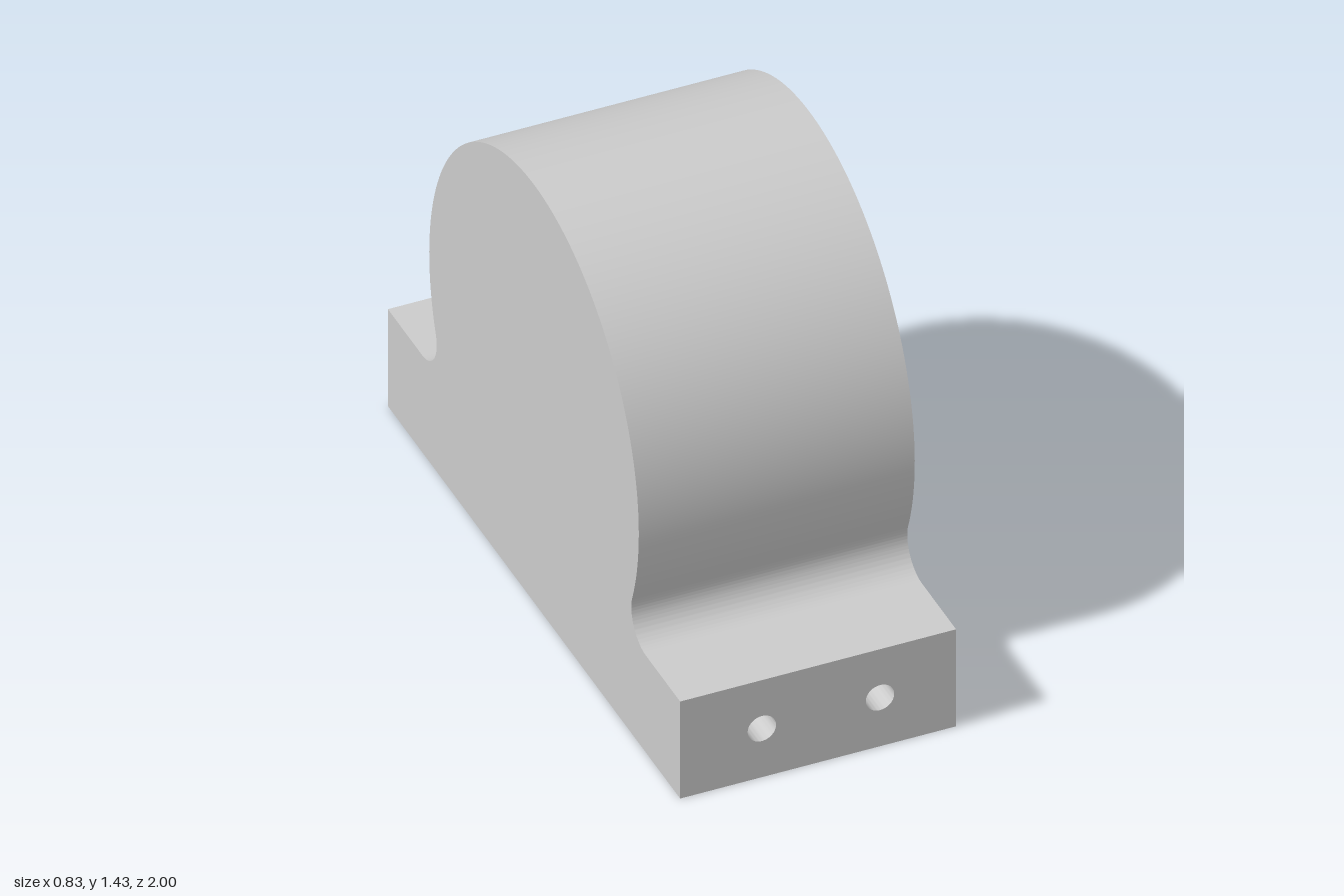
import * as THREE from 'three';
import { toCreasedNormals } from 'three/addons/utils/BufferGeometryUtils.js';

const HALF_WIDTH = 0.417; // half size along x
const BASE_HEIGHT = 0.333;
const RADIUS = 0.717; // rounded body; its circle touches the ground plane
const FILLET = 0.1;

export function createModel() {
  const group = new THREE.Group();
  const material = new THREE.MeshStandardMaterial({ color: 0xcccccc });

  const add = (name, geometry) => {
    const mesh = new THREE.Mesh(toCreasedNormals(geometry, 0.6), material);
    mesh.name = name;
    group.add(mesh);
  };

  // Base block, drilled lengthwise by two holes
  const base = new THREE.Shape([
    new THREE.Vector2(-HALF_WIDTH, 0),
    new THREE.Vector2(HALF_WIDTH, 0),
    new THREE.Vector2(HALF_WIDTH, BASE_HEIGHT),
    new THREE.Vector2(-HALF_WIDTH, BASE_HEIGHT),
  ]);
  for (const x of [-0.17, 0.187]) {
    base.holes.push(new THREE.Path().absarc(x, 0.167, 0.043, 0, Math.PI * 2, true));
  }
  const baseGeometry = new THREE.ExtrudeGeometry(base, { depth: 2, bevelEnabled: false, curveSegments: 24 });
  add('base', baseGeometry.translate(0, 0, -1));

  // Rounded body: a large arc blended into the base by a fillet on each side
  const filletY = BASE_HEIGHT + FILLET;
  const filletX = Math.sqrt((RADIUS + FILLET) ** 2 - (RADIUS - filletY) ** 2);
  const angle = Math.atan2(filletY - RADIUS, filletX); // where arc and fillet meet
  const body = new THREE.Shape();
  body.moveTo(-filletX, BASE_HEIGHT);
  body.lineTo(filletX, BASE_HEIGHT);
  body.absarc(filletX, filletY, FILLET, Math.PI * 1.5, Math.PI + angle, true);
  body.absarc(0, RADIUS, RADIUS, angle, Math.PI - angle, false);
  body.absarc(-filletX, filletY, FILLET, -angle, -Math.PI / 2, true);

  const bodyGeometry = new THREE.ExtrudeGeometry(body, {
    depth: 2 * HALF_WIDTH, bevelEnabled: false, curveSegments: 48,
  });
  add('roundedBody', bodyGeometry.translate(0, 0, -HALF_WIDTH).rotateY(Math.PI / 2));

  return group;
}
